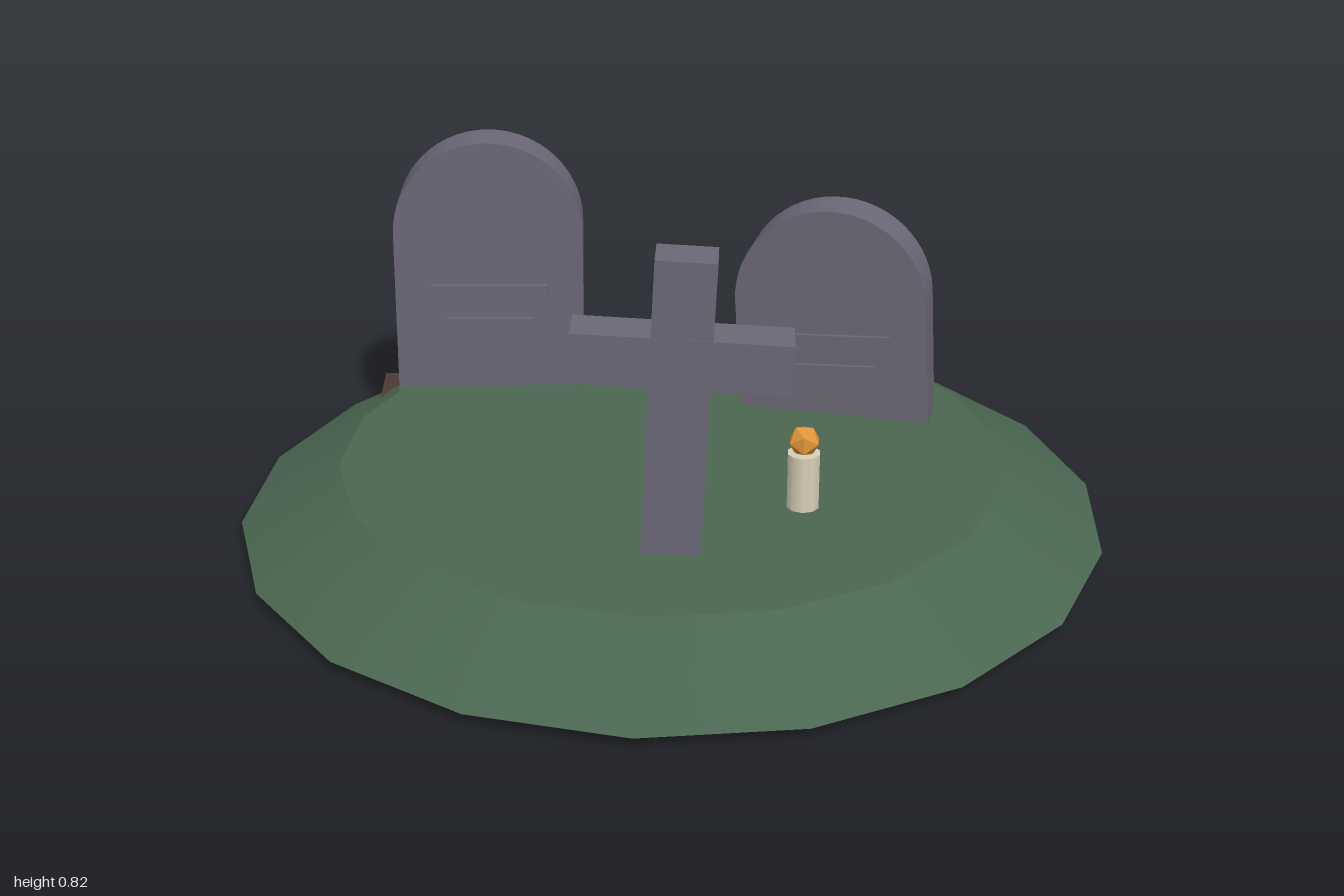
import * as THREE from 'three';

const mat = (name, color) => {
  const m = new THREE.MeshStandardMaterial({ color });
  m.name = name;
  return m;
};

export function createModel() {
  const stone = mat('stone', 0x6b6776);
  const grass = mat('grass', 0x4a6650);
  const soil = mat('soil', 0x4a3a34);
  const wax = mat('wax', 0xd8cfb8);
  const fire = mat('fire', 0xe0943a);
  fire.flatShading = true;

  const model = new THREE.Group();
  model.name = 'graveyard';

  const add = (parent, name, geometry, material, x = 0, y = 0, z = 0) => {
    const mesh = new THREE.Mesh(geometry, material);
    mesh.name = name;
    mesh.position.set(x, y, z);
    parent.add(mesh);
    return mesh;
  };

  // Each grave is a leaning group with a slab of soil around its foot
  const grave = (name, x, y, z, turn, lean) => {
    const group = new THREE.Group();
    group.name = name;
    group.position.set(x, y, z);
    group.rotation.set(0, turn, lean);
    add(group, 'soilBed', new THREE.BoxGeometry(0.57, 0.08, 0.29), soil, 0, 0.04, 0);
    model.add(group);
    return group;
  };

  // Round-topped slab with two raised bars on its front
  const headstone = (group, height, bottom, barHeights) => {
    const r = 0.23, depth = 0.115;
    const shape = new THREE.Shape();
    shape.moveTo(-r, bottom);
    shape.lineTo(r, bottom);
    shape.lineTo(r, height - r);
    shape.absarc(0, height - r, r, 0, Math.PI, false);
    shape.closePath();
    const slab = new THREE.ExtrudeGeometry(shape, { depth, bevelEnabled: false, curveSegments: 14 });
    add(group, 'headstone', slab, stone, 0, 0, -depth / 2);
    [0.285, 0.21].forEach((width, i) =>
      add(group, 'inscriptionBar', new THREE.BoxGeometry(width, 0.028, 0.02), stone, 0, barHeights[i], depth / 2));
  };

  // Grassy mound
  add(model, 'mound', new THREE.CylinderGeometry(0.77, 1, 0.135, 18), grass, 0, 0.0925, 0);

  // Two headstones
  headstone(grave('tallGrave', -0.485, 0.025, -0.405, 0.1, -0.01), 0.765, -0.004, [0.39, 0.305]);
  headstone(grave('shortGrave', 0.393, 0.018, -0.295, -0.17, 0.06), 0.658, 0.025, [0.335, 0.258]);

  // Stone cross
  const cross = grave('crossGrave', 0.026, 0.02, 0.455, 0.04, -0.05);
  add(cross, 'crossPost', new THREE.BoxGeometry(0.128, 0.775, 0.1), stone, 0, 0.412, 0);
  add(cross, 'crossArm', new THREE.BoxGeometry(0.46, 0.11, 0.104), stone, 0, 0.577, 0);

  // Candle
  add(model, 'candle', new THREE.CylinderGeometry(0.037, 0.037, 0.14, 10), wax, 0.31, 0.22, 0.255);
  add(model, 'flame', new THREE.IcosahedronGeometry(0.037), fire, 0.31, 0.318, 0.255);

  return model;
}
